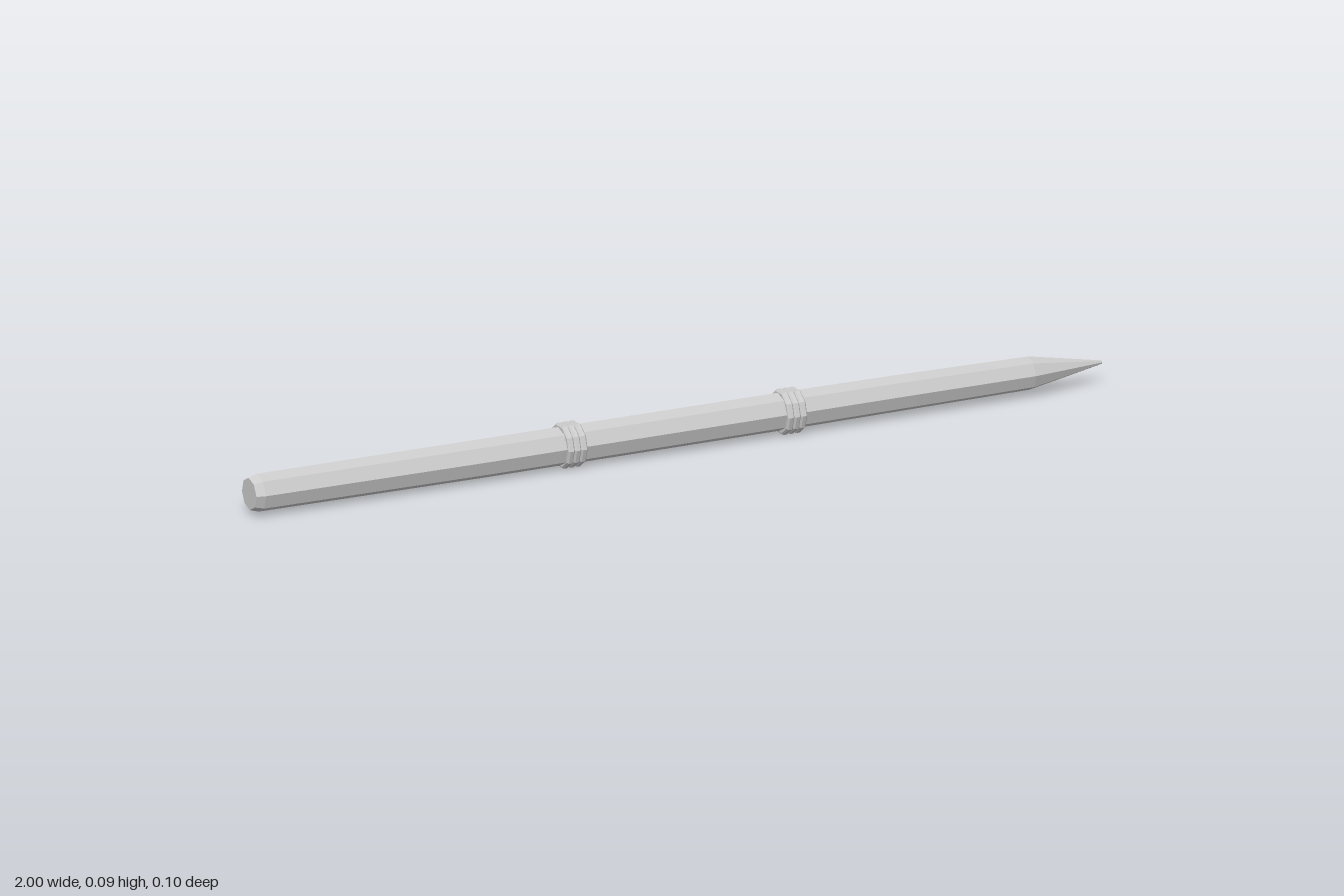
import * as THREE from 'three';

const CENTRE_Y = 0.047;
const material = new THREE.MeshStandardMaterial({ color: 0xcccccc, flatShading: true });

// Faceted solid turned around the x axis; profile is [x, radius] from butt to tip
function turned(name, profile, sides, twist = 0) {
  const points = profile.map(([x, r]) => new THREE.Vector2(r, x));
  const geometry = new THREE.LatheGeometry(points, sides);
  geometry.rotateZ(-Math.PI / 2).rotateX(twist);
  const mesh = new THREE.Mesh(geometry, material);
  mesh.name = name;
  return mesh;
}

export function createModel() {
  const group = new THREE.Group();
  group.name = 'sharpenedStake';

  // Eight-sided shaft with a bevelled butt, slight taper and sharpened tip
  const shaft = turned('shaft', [
    [-1, 0], [-1, 0.035], [-0.98, 0.041], [-0.45, 0.042], [0.28, 0.041],
    [0.55, 0.039], [0.83, 0.036], [1, 0.004], [1, 0],
  ], 8, -0.1);
  // Slight hand-carved sway along its length
  const p = shaft.geometry.attributes.position;
  for (let i = 0; i < p.count; i++) {
    const x = p.getX(i);
    p.setY(i, p.getY(i) + 0.0015 * Math.sin(x * 3));
    p.setZ(i, p.getZ(i) + 0.002 * Math.cos(x * 3 + 0.6) * (x < 0 ? -1 : 1) * Math.min(1, Math.abs(x)));
  }
  shaft.geometry.computeVertexNormals();
  shaft.position.y = CENTRE_Y;
  group.add(shaft);

  // Two bindings, each of three cord rings
  [['rearBinding', -0.25], ['frontBinding', 0.265]].forEach(([name, x]) => {
    const binding = new THREE.Group();
    binding.name = name;
    for (let i = -1; i <= 1; i++) {
      const ring = turned('cordRing', [
        [-0.0075, 0.036], [-0.0075, 0.045], [-0.004, 0.049],
        [0.004, 0.049], [0.0075, 0.045], [0.0075, 0.036],
      ], 10);
      ring.position.x = i * 0.015;
      binding.add(ring);
    }
    binding.position.set(x, CENTRE_Y, 0);
    group.add(binding);
  });

  return group;
}
